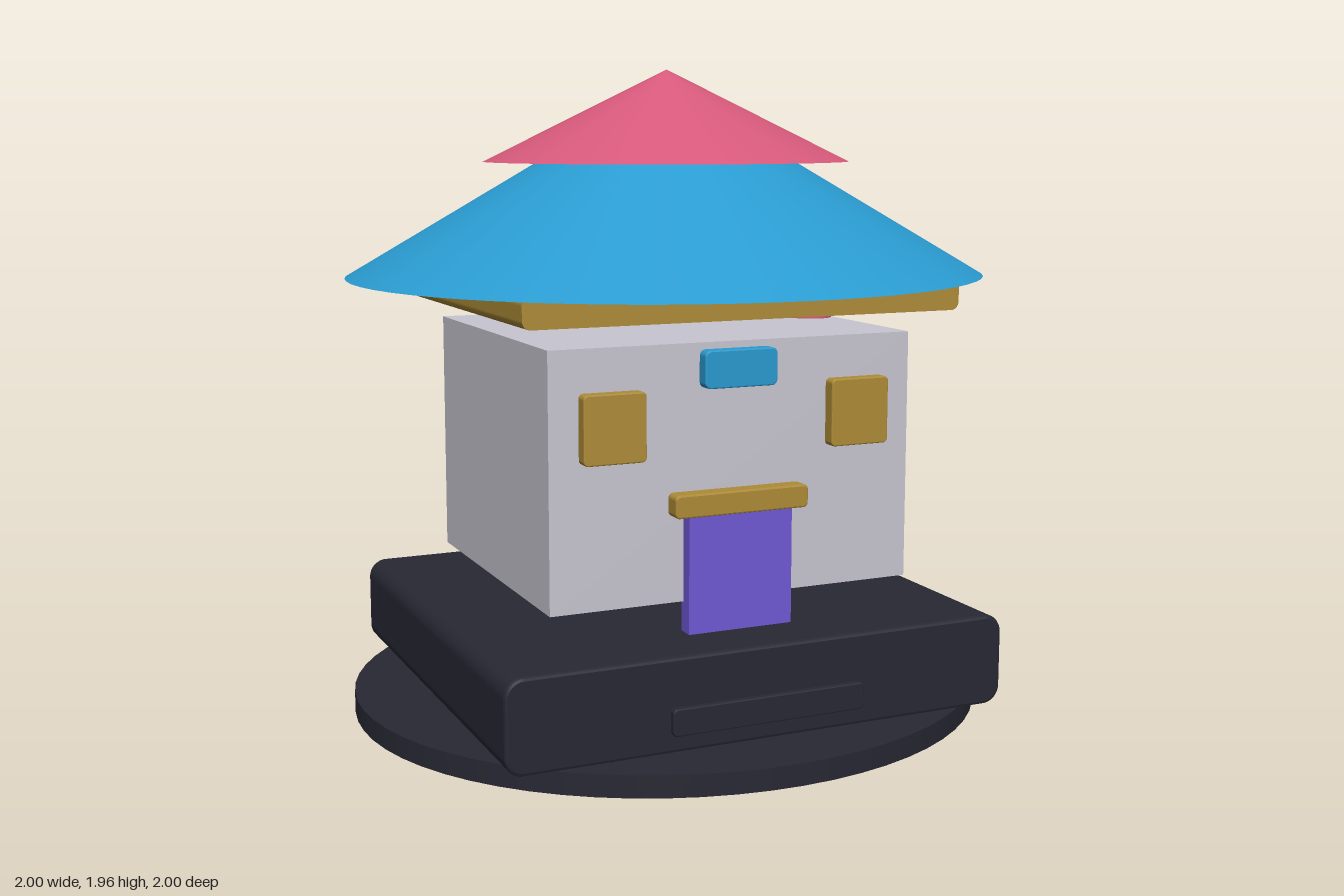
import * as THREE from 'three';

const material = (name, color) => {
  const m = new THREE.MeshStandardMaterial({ color });
  m.name = name;
  return m;
};

// Rounded rectangle in x/y, extruded from z0 to z1 with a small bevel
function slab(w, y0, y1, z0, z1, r, bevel) {
  const x = w / 2 - bevel, b = y0 + bevel, t = y1 - bevel;
  const s = new THREE.Shape();
  s.moveTo(-x + r, b);
  s.lineTo(x - r, b);
  s.absarc(x - r, b + r, r, -Math.PI / 2, 0);
  s.lineTo(x, t - r);
  s.absarc(x - r, t - r, r, 0, Math.PI / 2);
  s.lineTo(-x + r, t);
  s.absarc(-x + r, t - r, r, Math.PI / 2, Math.PI);
  s.lineTo(-x, b + r);
  s.absarc(-x + r, b + r, r, Math.PI, Math.PI * 1.5);
  const g = new THREE.ExtrudeGeometry(s, {
    depth: z1 - z0 - 2 * bevel, curveSegments: 6,
    bevelEnabled: bevel > 0, bevelSize: bevel, bevelThickness: bevel, bevelSegments: 2,
  });
  return g.translate(0, 0, z0 + bevel);
}

export function createModel() {
  const model = new THREE.Group();
  model.name = 'pavilion';

  const dark = material('charcoal', 0x282834);
  const stone = material('paleStone', 0xc8c6d0);
  const gold = material('gold', 0xae8c38);
  const violet = material('violet', 0x7059d6);
  const blue = material('roofBlue', 0x2a9bd0);
  const red = material('rose', 0xd6597b);

  const add = (name, geometry, mat, parent = model) => {
    const mesh = new THREE.Mesh(geometry, mat);
    mesh.name = name;
    parent.add(mesh);
    return mesh;
  };

  // Oval ground disc and plinth
  add('groundDisc', new THREE.CylinderGeometry(1, 1, 0.065, 64).scale(0.99, 1, 0.92), dark)
    .position.y = 0.0325;
  add('plinth', slab(1.57, 0.065, 0.34, -0.71, 0.71, 0.045, 0.01), dark);
  add('plinthPlaque', slab(0.605, 0.117, 0.197, 0.68, 0.728, 0.01, 0.004), dark);

  // Body with the side post just breaking through its wall
  add('walls', new THREE.BoxGeometry(1.15, 0.75, 0.98), stone).position.y = 0.805;
  add('sidePost', new THREE.CylinderGeometry(0.069, 0.069, 0.86, 32).rotateY(Math.PI / 2), red)
    .position.set(0.507, 0.77, 0);

  // Front details
  add('door', new THREE.BoxGeometry(0.33, 0.35, 0.052), violet).position.set(0, 0.515, 0.504);
  add('lintel', slab(0.425, 0.685, 0.753, 0.47, 0.543, 0.01, 0.005), gold);
  add('sign', slab(0.23, 1.05, 1.16, 0.47, 0.53, 0.014, 0.004), blue);
  for (const side of [-1, 1]) {
    add(side > 0 ? 'leftWindow' : 'rightWindow', slab(0.19, 0.855, 1.055, 0.47, 0.53, 0.01, 0.004), gold)
      .position.x = side * 0.39;
  }

  // Eaves beam and two-tier roof, slightly stretched along a diagonal
  add('eaves', slab(1.365, 1.25, 1.34, -0.593, 0.593, 0.025, 0), gold);
  const roof = new THREE.Group();
  roof.name = 'roof';
  roof.rotation.y = Math.PI / 4;
  roof.scale.set(1.034, 1, 0.965);
  model.add(roof);
  add('lowerRoof', new THREE.ConeGeometry(1, 0.575, 64), blue, roof).position.y = 1.34 + 0.2875;
  add('upperRoof', new THREE.ConeGeometry(0.575, 0.278, 64), red, roof).position.y = 1.682 + 0.139;

  return model;
}
